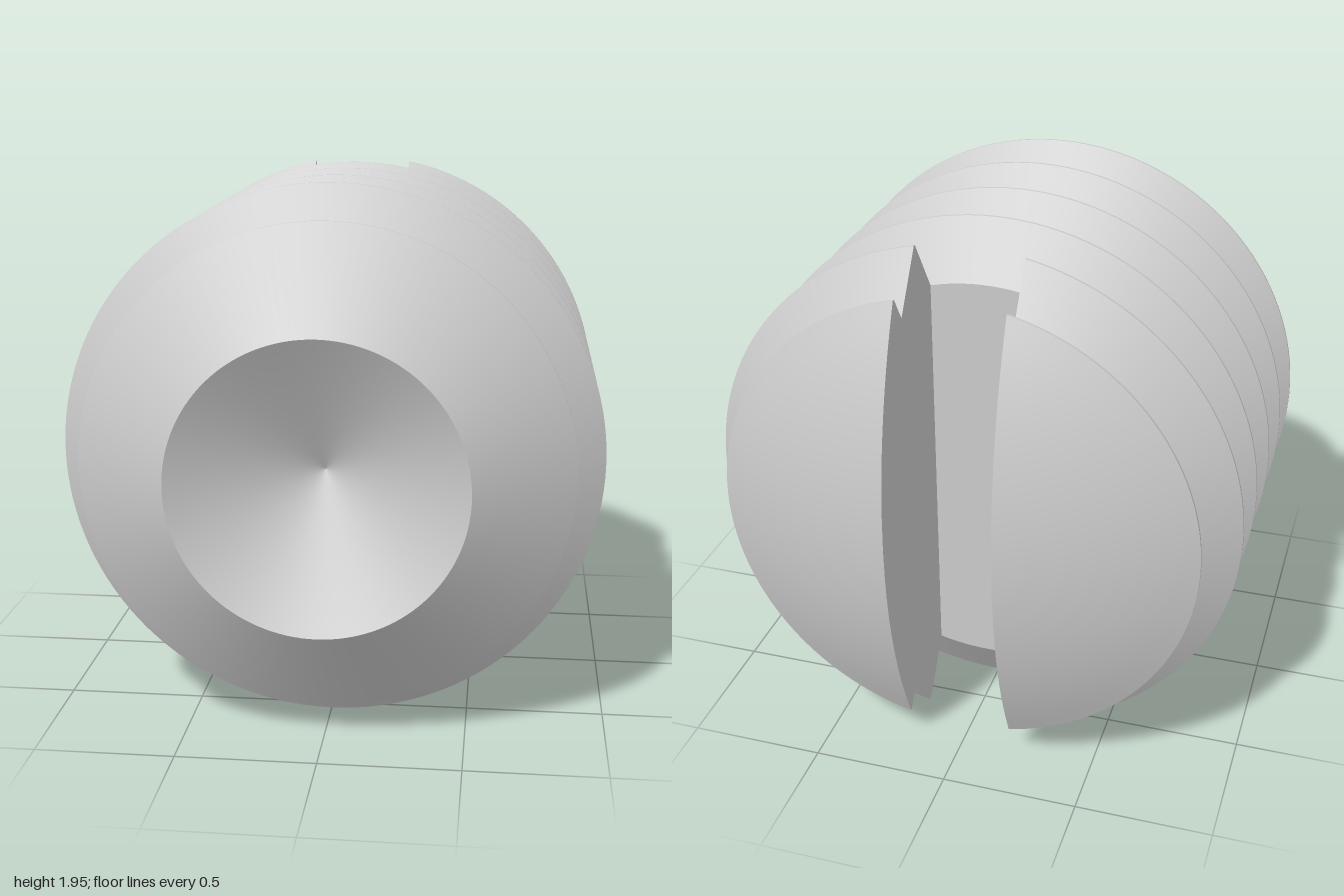
import * as THREE from 'three';
import { toCreasedNormals } from 'three/addons/utils/BufferGeometryUtils.js';

const CREST = 0.973, ROOT = 0.775, EDGE = 0.866; // thread radii
const PITCH = 0.285, SLOT = 0.193, FLOOR = -0.455; // slot half width and depth
const FLAT = 0.005; // half width of the tiny flat on each crest

const crest = (z, r = CREST, s = 1) => [[r, z - s * FLAT], [r, z + s * FLAT]];

// Solid threaded part, from the slot floor to the conical cup point
function bodyGeometry() {
  const p = [[0, FLOOR], [ROOT, FLOOR]];
  for (let i = 0; i < 4; i++) {
    const z = FLOOR + (i + 0.5) * PITCH;
    p.push(...crest(z), [ROOT, z + PITCH / 2]);
  }
  p.push(...crest(0.75, EDGE), [0.515, 1], [0, 0.705]);
  const lathe = new THREE.LatheGeometry(p.map(([r, z]) => new THREE.Vector2(r, z)), 128);
  lathe.rotateX(Math.PI / 2);
  return toCreasedNormals(lathe, 0.5);
}

// Profile of the slotted end: one full thread, a partial one, and the dome
function headProfile() {
  const p = [[ROOT, FLOOR], ...crest(FLOOR - PITCH / 2, CREST, -1), [ROOT, FLOOR - PITCH],
    ...crest(-0.805, EDGE, -1)];
  const R = 1.97, a0 = Math.asin(EDGE / R), a1 = Math.asin(SLOT / R), n = 16;
  for (let i = 1; i <= n; i++) {
    const a = a0 + (a1 - a0) * i / n;
    p.push([R * Math.sin(a), -1 + R * (Math.cos(a1) - Math.cos(a))]);
  }
  return p;
}

// Revolved skin of one head half, kept only where x > SLOT
function headSkin(profile) {
  const n = 64, pos = [], index = [];
  profile.forEach(([r, z], i) => {
    const half = Math.acos(Math.min(1, SLOT / r));
    for (let j = 0; j <= n; j++) {
      const t = half * (2 * j / n - 1);
      pos.push(r * Math.cos(t), r * Math.sin(t), z);
      if (i && j) {
        const d = i * (n + 1) + j, c = d - 1, b = d - n - 1, a = b - 1;
        index.push(a, c, b, c, d, b);
      }
    }
  });
  const g = new THREE.BufferGeometry();
  g.setAttribute('position', new THREE.Float32BufferAttribute(pos, 3));
  g.setIndex(index);
  return toCreasedNormals(g, 0.5);
}

// Flat side of the slot, outlined by the cut through the profile
function wallGeometry(profile) {
  const edge = profile.map(([r, z]) => new THREE.Vector2(z, Math.sqrt(Math.max(0, r * r - SLOT * SLOT))));
  const lower = edge.slice(0, -1).reverse().map(v => new THREE.Vector2(v.x, -v.y));
  const g = new THREE.ShapeGeometry(new THREE.Shape([...edge, ...lower]));
  return g.rotateY(-Math.PI / 2).translate(SLOT, 0, 0);
}

export function createModel() {
  const material = new THREE.MeshStandardMaterial({ color: 0xcccccc });
  const model = new THREE.Group();
  model.name = 'setScrew';
  const add = (parent, geometry, name) => {
    const mesh = new THREE.Mesh(geometry, material);
    mesh.name = name;
    parent.add(mesh);
  };

  const screw = new THREE.Group();
  screw.name = 'screw';
  screw.position.y = CREST;
  model.add(screw);
  add(screw, bodyGeometry(), 'threadedBody');

  // Two matching head halves either side of the slot
  const profile = headProfile();
  const skin = headSkin(profile), wall = wallGeometry(profile);
  ['leftHead', 'rightHead'].forEach((name, i) => {
    const half = new THREE.Group();
    half.name = name;
    half.rotation.z = i * Math.PI;
    add(half, skin, name + 'Thread');
    add(half, wall, name + 'SlotWall');
    screw.add(half);
  });
  return model;
}
